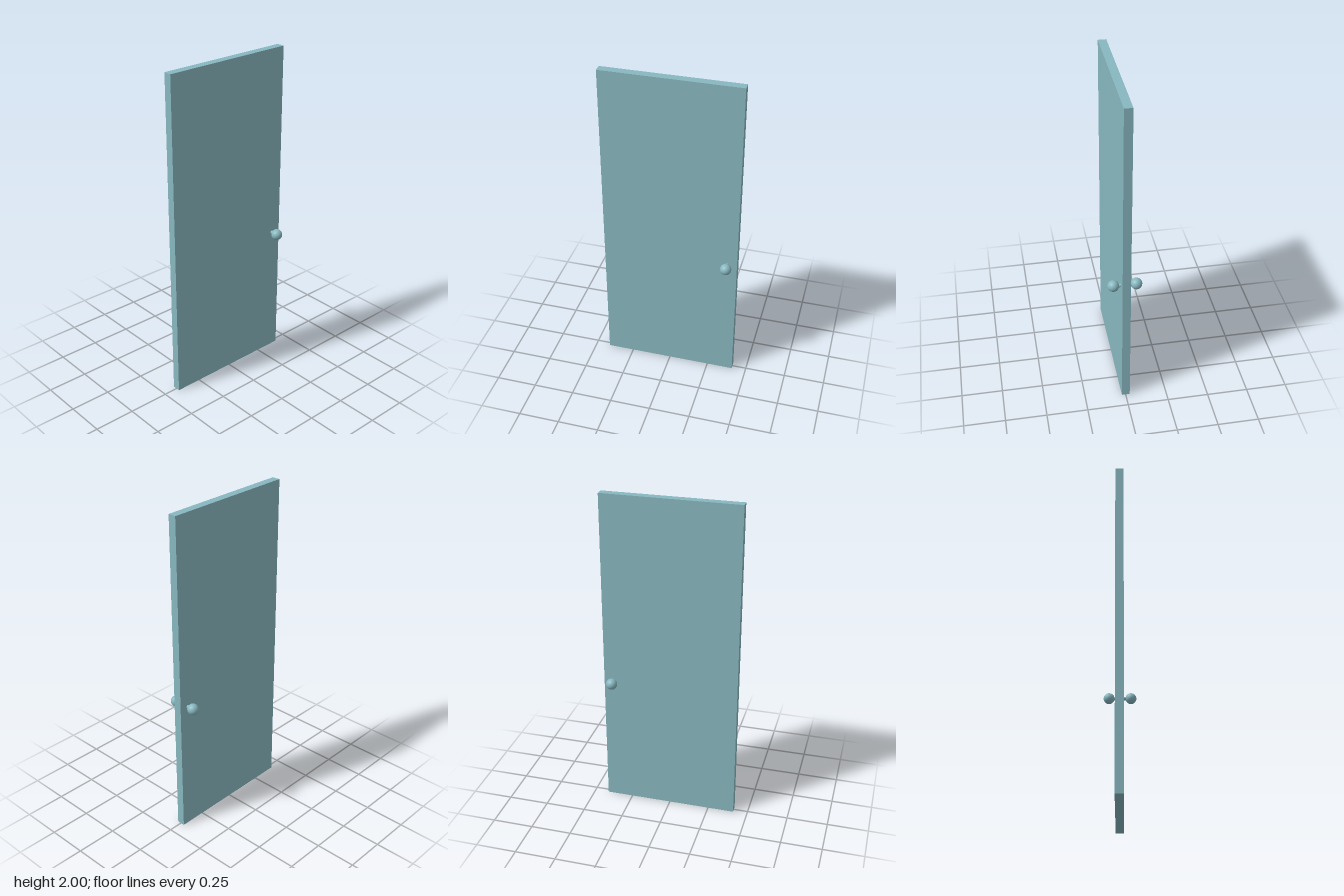
import * as THREE from 'three';

const KNOB = { y: 0.828, z: -0.353, x: 0.0675, radius: 0.034 };

export function createModel() {
  const model = new THREE.Group();
  model.name = 'door';
  const material = new THREE.MeshStandardMaterial({ color: 0x88b8c0 });

  const add = (name, geometry, x, y, z) => {
    const mesh = new THREE.Mesh(geometry, material);
    mesh.name = name;
    mesh.position.set(x, y, z);
    model.add(mesh);
    return mesh;
  };

  // Plain slab
  add('doorPanel', new THREE.BoxGeometry(0.049, 2, 0.824), -0.001, 1, 0);

  // Spindle through the slab, joining both knobs
  const spindle = new THREE.CylinderGeometry(0.0115, 0.0115, KNOB.x * 2, 32);
  add('knobSpindle', spindle, 0, KNOB.y, KNOB.z).rotation.z = Math.PI / 2;

  // One round knob on each face
  const knob = new THREE.SphereGeometry(KNOB.radius, 32, 24);
  for (const [name, side] of [['leftKnob', 1], ['rightKnob', -1]]) {
    add(name, knob, side * KNOB.x, KNOB.y, KNOB.z);
  }

  return model;
}
